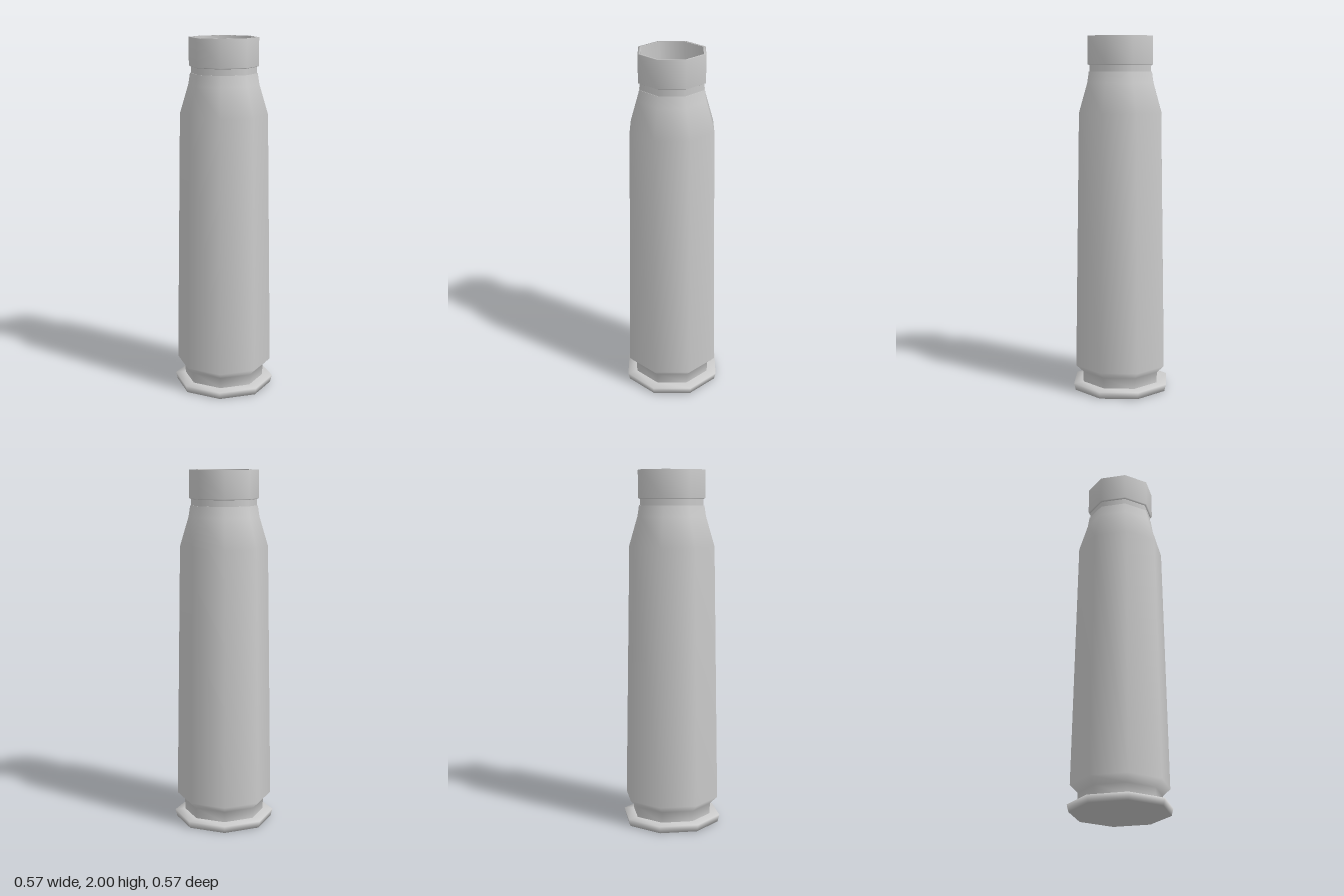
import * as THREE from 'three';

const SIDES = 8;

// Smooth-shaded octagonal turning from [radius, height] pairs
function turned(name, profile, material) {
  const points = profile.map(([r, y]) => new THREE.Vector2(r, y));
  const mesh = new THREE.Mesh(new THREE.LatheGeometry(points, SIDES), material);
  mesh.name = name;
  return mesh;
}

export function createModel() {
  const group = new THREE.Group();
  group.name = 'cartridgeCase';
  const material = new THREE.MeshStandardMaterial({ color: 0xcccccc });

  // Flat base with its flared rim
  group.add(turned('baseRim', [
    [0, 0], [0.274, 0], [0.284, 0.04], [0.226, 0.045],
  ], material));

  // Extraction groove, tapered wall, shoulder and neck
  group.add(turned('caseBody', [
    [0.226, 0.045], [0.228, 0.105], [0.27, 0.145], [0.245, 1.58],
    [0.196, 1.745], [0.187, 1.805], [0.182, 1.805],
  ], material));

  // Narrow groove below the mouth
  group.add(turned('neckGroove', [[0.182, 1.805], [0.182, 1.84]], material));

  // Collar around the open mouth
  group.add(turned('mouthCollar', [
    [0.182, 1.84], [0.193, 1.845], [0.193, 2], [0.179, 2],
  ], material));

  // Hollow inside, running down to a closed floor
  group.add(turned('bore', [[0.179, 2], [0.178, 0.15], [0, 0.15]], material));

  return group;
}
